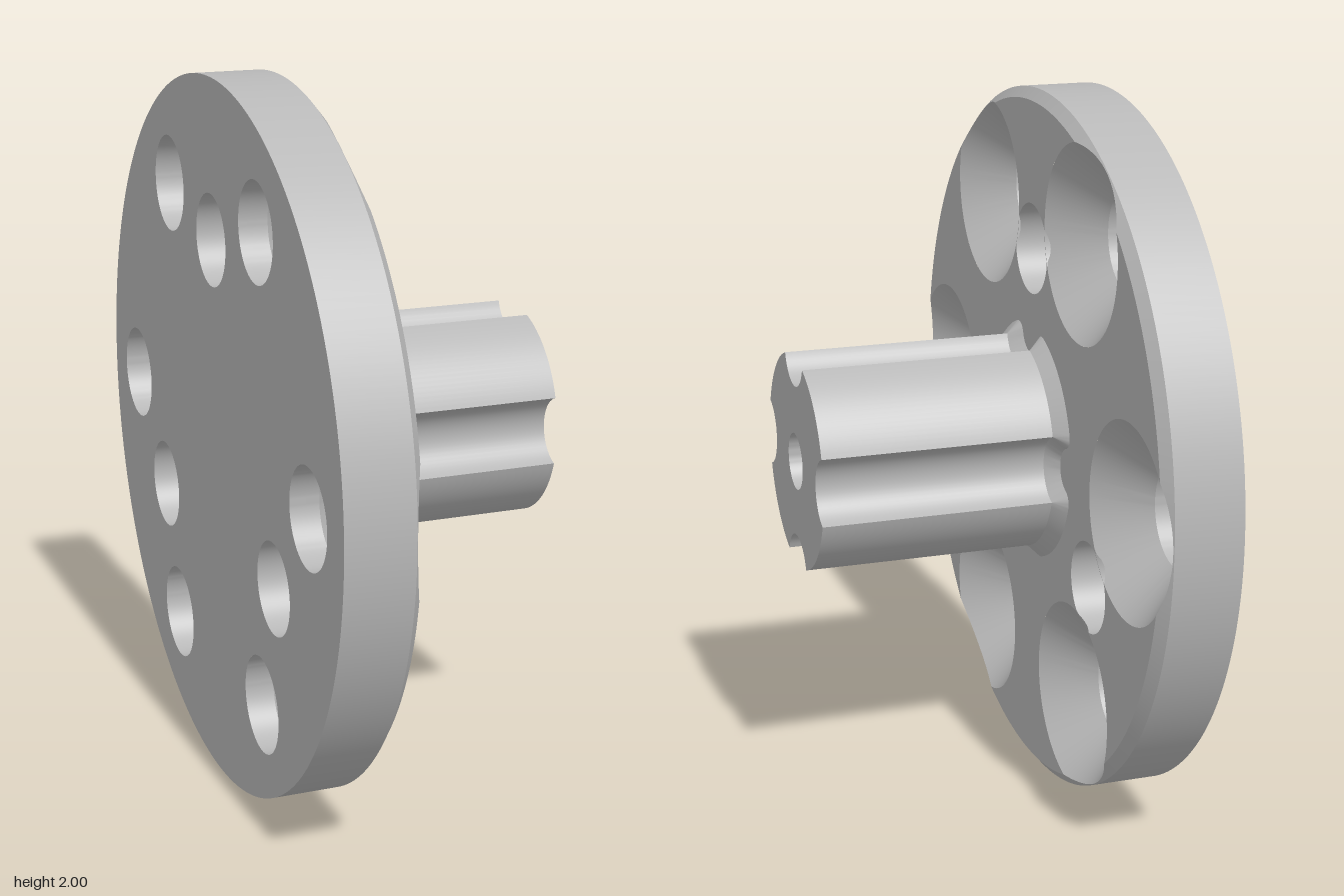
import * as THREE from 'three';
import { toCreasedNormals } from 'three/addons/utils/BufferGeometryUtils.js';

// Everything is built along a local z axis, then turned to lie along x.
const BACK = -0.455, FACE = -0.24, RIM = -0.265, END = 0.45;
const R_RIM = 1, R_FACE = 0.97;                                // plate and chamfer radii
const SINK_AT = 0.75, SINK_R = 0.27, BOLT_R = 0.136;           // countersunk bolt holes
const PIN_AT = 0.557, PIN_R = 0.128;                           // plain holes
const SHAFT_R = 0.305, GROOVE_AT = 0.32, GROOVE_R = 0.1, FLARE = 0.036;
const { PI, cos, sin, hypot, min, acos, atan2 } = Math;

const polar = (r, a, z = 0, cx = 0, cy = 0) => new THREE.Vector3(cx + r * cos(a), cy + r * sin(a), z);
const circle = (r, z, c = { x: 0, y: 0 }, n = 72) =>
  Array.from({ length: n }, (_, i) => polar(r, (i / n) * 2 * PI, z, c.x, c.y));
const arc = (r, from, to, n, c = { x: 0, y: 0 }, z = 0) =>
  Array.from({ length: n + 1 }, (_, i) => polar(r, from + ((to - from) * i) / n, z, c.x, c.y));
const atZ = (loop, z) => loop.map((p) => new THREE.Vector3(p.x, p.y, z));

// Closed band between two counter-clockwise loops of equal length
function band(a, b) {
  const n = a.length, index = [];
  for (let i = 0; i < n; i++) {
    const j = (i + 1) % n;
    index.push(i, j, n + j, i, n + j, n + i);
  }
  const geo = new THREE.BufferGeometry().setFromPoints([...a, ...b]);
  geo.setIndex(index);
  return toCreasedNormals(geo, 0.5);
}

// Flat face with holes
function flat(outline, holes, z) {
  const to2 = (l) => l.map((p) => new THREE.Vector2(p.x, p.y));
  const shape = new THREE.Shape(to2(outline));
  shape.holes = holes.map((h) => new THREE.Path(to2(h)));
  return new THREE.ShapeGeometry(shape).translate(0, 0, z);
}

const sinkAngles = [0, 1, 2, 3, 4, 5].map((k) => (k * PI) / 3);
const sinks = sinkAngles.map((a) => polar(SINK_AT, a));
const pins = [0, 1, 2].map((k) => polar(PIN_AT, PI / 2 + (k * 2 * PI) / 3));
const dist = (p, q) => hypot(p.x - q.x, p.y - q.y);
const coneZ = (d) => FACE - (SINK_R - d);
const plateZ = (r) => (r > R_FACE ? FACE - ((r - R_FACE) / (R_RIM - R_FACE)) * (FACE - RIM) : FACE);

// Upper edge of a countersink at angle a, trimmed by the chamfer and the plain holes
function sinkEdge(c, a) {
  const inside = (d) => {
    const p = polar(d, a, 0, c.x, c.y);
    return coneZ(d) <= plateZ(hypot(p.x, p.y)) + 1e-6 && pins.every((q) => dist(p, q) >= PIN_R);
  };
  let lo = BOLT_R, hi = SINK_R;
  if (inside(hi)) lo = hi;
  for (let i = 0; i < 30 && lo < hi; i++) {
    const mid = (lo + hi) / 2;
    if (inside(mid)) lo = mid; else hi = mid;
  }
  return polar(lo, a, coneZ(lo), c.x, c.y);
}

// Grooved shaft outline, grown outwards by d
function shaftSection(d, z) {
  const u = (SHAFT_R ** 2 + GROOVE_AT ** 2 - GROOVE_R ** 2) / (2 * GROOVE_AT);
  const v = Math.sqrt(SHAFT_R ** 2 - u * u);
  const alpha = atan2(v, u), beta = atan2(v, GROOVE_AT - u);
  const pts = [];
  for (let q = 0; q < 4; q++) {
    const part = [
      ...arc(d, -alpha, beta, 8, { x: u, y: -v }),
      ...arc(GROOVE_R - d, beta - PI, -beta - PI, 20, { x: GROOVE_AT, y: 0 }),
      ...arc(d, -beta, alpha, 8, { x: u, y: v }),
      ...arc(SHAFT_R + d, alpha, PI / 2 - alpha, 20),
    ];
    part.forEach((p) => pts.push(p.applyAxisAngle(new THREE.Vector3(0, 0, 1), (q * PI) / 2).setZ(z)));
  }
  return pts;
}

export function createModel() {
  const model = new THREE.Group();
  const body = new THREE.Group();
  body.name = 'flangedShaft';
  const steel = new THREE.MeshStandardMaterial({ color: 0xb8b8b8 });
  steel.name = 'grey metal';
  const add = (name, geo) => {
    const mesh = new THREE.Mesh(geo, steel);
    mesh.name = name;
    body.add(mesh);
  };

  // Countersinks break through the plate edge, so the face outline is notched
  const tc = acos((R_FACE ** 2 - SINK_AT ** 2 - SINK_R ** 2) / (2 * SINK_AT * SINK_R));
  const half = atan2(SINK_R * sin(tc), SINK_AT + SINK_R * cos(tc));
  const faceOutline = [], chamferInner = [];
  sinkAngles.forEach((a, k) => {
    const between = arc(R_FACE, a + half, a + PI / 3 - half, 24, undefined, FACE).slice(1, -1);
    faceOutline.push(...arc(SINK_R, a - tc, a + tc - 2 * PI, 72, sinks[k]), ...between);
    for (let i = 0; i <= 20; i++) chamferInner.push(sinkEdge(sinks[k], a - tc + (2 * tc * i) / 20));
    chamferInner.push(...between);
  });
  const rim = chamferInner.map((p) => polar(R_RIM, atan2(p.y, p.x), RIM));

  // Plain holes in the face stay just clear of the neighbouring countersinks
  const faceHoles = pins.map((c) => circle(PIN_R, FACE, c).map((p) => {
    while (sinks.some((s) => dist(p, s) < SINK_R + 0.0015)) {
      p.x += (c.x - p.x) * 0.004;
      p.y += (c.y - p.y) * 0.004;
    }
    return p;
  }));

  // Plate
  add('plateRim', band(atZ(rim, BACK), rim));
  add('plateChamfer', band(rim, chamferInner));
  add('plateFrontFace', flat(faceOutline, faceHoles, FACE));
  const backHoles = [...sinks.map((c) => circle(BOLT_R, 0, c)), ...pins.map((c) => circle(PIN_R, 0, c))];
  add('plateBackFace', flat(rim, backHoles, 0).rotateY(PI).scale(1, 1, 1).translate(0, 0, BACK));

  // Countersunk bolt holes
  sinks.forEach((c) => {
    const bolt = circle(BOLT_R, coneZ(BOLT_R), c, 96);
    const edge = bolt.map((_, i) => sinkEdge(c, (i / 96) * 2 * PI));
    add('countersink', band(edge, bolt));
    add('boltHole', band(bolt, atZ(bolt, BACK)));
  });

  // Plain holes
  pins.forEach((c) => {
    const top = circle(PIN_R, FACE, c);
    top.forEach((p) => sinks.forEach((s) => { p.z = min(p.z, coneZ(dist(p, s))); }));
    add('plainHole', band(top, atZ(top, BACK)));
  });

  // Grooved shaft with a flared foot
  const foot = shaftSection(0, FACE + FLARE);
  const tip = atZ(foot, END);
  add('shaftFoot', band(shaftSection(FLARE, FACE), foot));
  add('shaft', band(foot, tip));

  // Drilled centre hole in the shaft end
  const bore = circle(0.08, END);
  const bottom = atZ(bore, END - 0.25);
  add('shaftEnd', flat(tip, [bore], END));
  add('centreBore', band(bore, bottom));
  add('centreBoreTip', band(bottom, circle(0, END - 0.3)));

  body.rotation.y = PI / 2;
  body.position.y = 1;
  model.add(body);
  return model;
}
